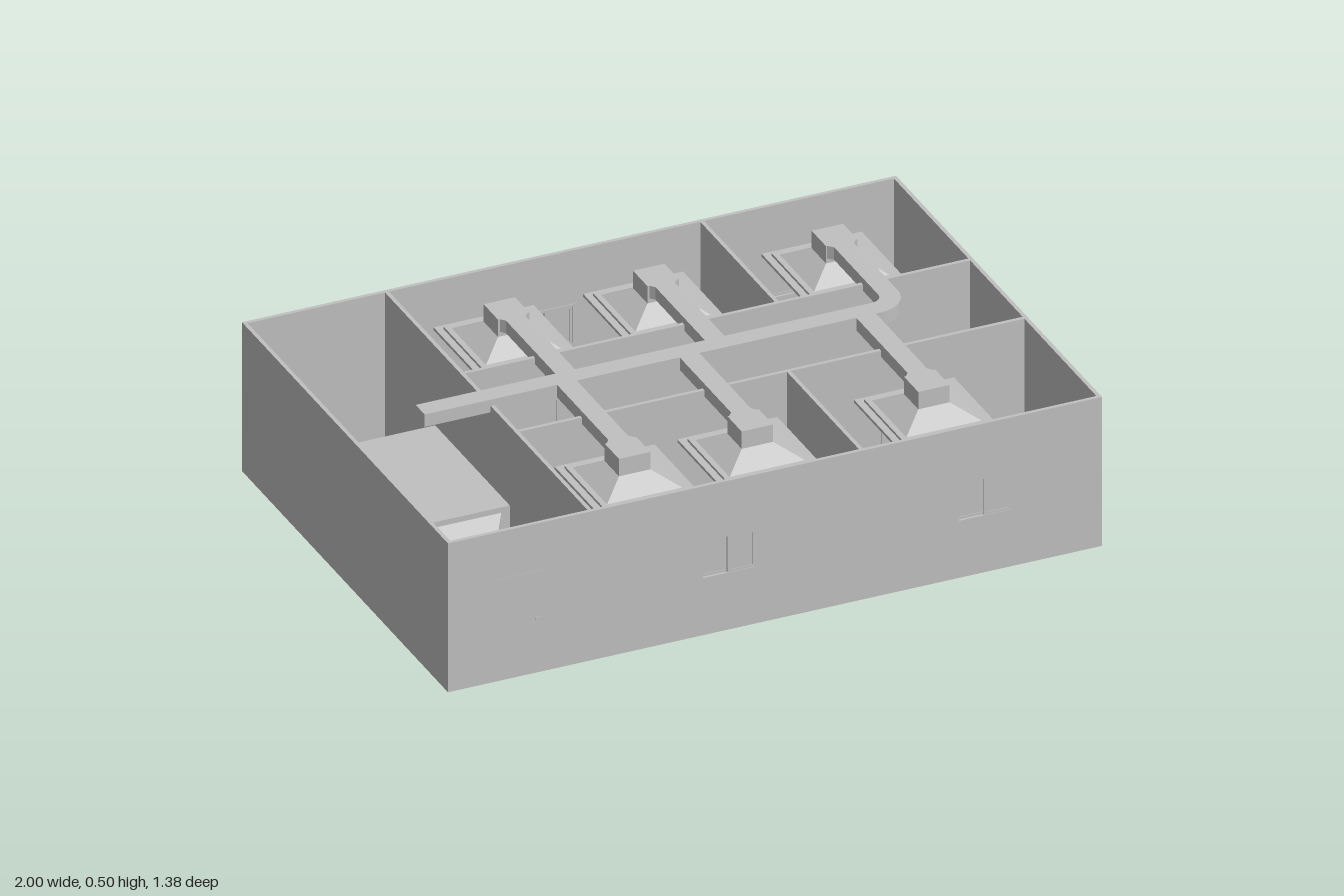
import * as THREE from 'three';
import { toCreasedNormals } from 'three/addons/utils/BufferGeometryUtils.js';

const H = 0.475, T = 0.012, X = 1, Z = 0.69;      // wall height, thickness, half extents
const DUCT_TOP = 0.495, DUCT_H = 0.04;

export function createModel() {
  const model = new THREE.Group();
  const grey = new THREE.MeshStandardMaterial({ color: 0xc0c0c0 });

  function add(name, geo, parent = model) {
    const m = new THREE.Mesh(geo, grey);
    m.name = name;
    parent.add(m);
    return m;
  }
  // box given by its limits
  function box(name, x0, x1, y0, y1, z0, z1, parent) {
    const m = add(name, new THREE.BoxGeometry(x1 - x0, y1 - y0, z1 - z0), parent);
    m.position.set((x0 + x1) / 2, (y0 + y1) / 2, (z0 + z1) / 2);
    return m;
  }
  // four sided frustum along y, flat faces
  function frustum(bottom, top, h) {
    const g = new THREE.CylinderGeometry(top * Math.SQRT1_2, bottom * Math.SQRT1_2, h, 4).rotateY(Math.PI / 4);
    return toCreasedNormals(g, 0.3);
  }
  // plan outline (x, z) extruded downward from the duct top
  function planDuct(name, shape) {
    const g = new THREE.ExtrudeGeometry(shape, { depth: DUCT_H, bevelEnabled: false, curveSegments: 16 });
    add(name, toCreasedNormals(g.rotateX(Math.PI / 2), 0.5)).position.y = DUCT_TOP;
  }

  // Wall in the local xy plane, outer face toward +z, with window and door openings
  function wall(name, x0, x1, windows = [], doors = [], proud = 0) {
    const g = new THREE.Group();
    g.name = name;
    const shape = new THREE.Shape([[x0, 0], [x1, 0], [x1, H], [x0, H]].map(p => new THREE.Vector2(...p)));
    const hole = (a, b, c, d) => shape.holes.push(
      new THREE.Path([[a, c], [a, d], [b, d], [b, c]].map(p => new THREE.Vector2(...p))));
    for (const w of windows) {
      const a = w - 0.0875, b = w + 0.0875, c = 0.175, d = 0.305, f = 0.007;
      hole(a, b, c, d);
      // surround
      box('windowSill', a, b, c, c + f, -T - 0.003, 0, g);
      box('windowHead', a, b, d - f, d, -T - 0.003, 0, g);
      for (const x of [a, b - f]) box('windowJamb', x, x + f, c + f, d - f, -T - 0.003, 0, g);
      // two sliding sashes, one behind the other
      [[a + f, w + 0.004, -0.011], [w - 0.004, b - f, -0.005]].forEach(([s, e, z]) => {
        box('windowPane', s + f, e - f, c + 2 * f, d - 2 * f, z - 0.001, z + 0.001, g);
        for (const x of [s, e - f]) box('sashStile', x, x + f, c + f, d - f, z - 0.003, z + 0.003, g);
        for (const y of [c + f, d - 2 * f]) box('sashRail', s + f, e - f, y, y + f, z - 0.003, z + 0.003, g);
      });
    }
    for (const [d, handleSide] of doors) {
      const a = d - 0.07, b = d + 0.07, top = 0.325, hx = d + handleSide * 0.056;
      hole(a, b, 0.006, top);
      box('doorLeaf', a, b, 0.006, top, -T + 0.002 + proud, -0.003 + proud, g);
      box('doorHandle', hx - 0.009, hx + 0.009, 0.172, 0.177, -T - 0.004, 0.003, g);
    }
    const geo = new THREE.ExtrudeGeometry(shape, { depth: T, bevelEnabled: false });
    add('wallPanel', geo, g).position.z = -T;
    model.add(g);
    return g;
  }

  // Floor and outer walls
  box('floor', -X + T, X - T, 0, 0.006, -Z + T, Z - T);
  wall('frontWall', -X, X, [-0.14, 0.643], [[-0.78, 1]], 0.004).position.z = Z;
  const back = wall('backWall', -X, X, [0.077, -0.693]);
  back.rotation.y = Math.PI;
  back.position.z = -Z;
  const right = wall('leftSideWall', -Z + T, Z - T, [], [[-0.035, 1]]);
  right.rotation.y = Math.PI / 2;
  right.position.x = X;
  box('rightSideWall', -X, -X + T, 0, H, -Z + T, Z - T);

  // Room partitions
  box('plantRoomPartition', -0.568, -0.556, 0, H, -Z + T, Z - T);
  wall('backCorridorPartition', -0.556, X - T, [], [[-0.345, 1], [0.63, 1]]).position.z = -0.167;
  wall('frontCorridorPartition', -0.556, X - T, [], [[-0.34, -1], [0.482, -1]]).position.z = 0.196;
  box('backRoomPartition', 0.396, 0.408, 0, H, -Z + T, -0.179);
  box('frontRoomPartition', 0.262, 0.274, 0, H, 0.196, Z - T);

  // Main duct with its elbow toward the last back room
  const r = 0.03, cx = 0.625, cz = -0.065;
  const main = new THREE.Shape();
  main.moveTo(-0.77, -r);
  main.lineTo(cx, -r);
  main.absarc(cx, cz, 0.035, Math.PI / 2, 0, true);
  main.lineTo(0.66, -0.36);
  main.lineTo(0.645, -0.375);
  main.lineTo(0.735, -0.375);
  main.lineTo(0.72, -0.36);
  main.lineTo(0.72, cz);
  main.absarc(cx, cz, 0.095, 0, Math.PI / 2, false);
  main.lineTo(-0.77, r);
  main.closePath();
  planDuct('mainDuct', main);

  // Outlet hoods: flange, step, pyramid and neck box, each with a branch duct
  function outlet(x, z, branch) {
    const g = new THREE.Group();
    g.name = 'outletHood';
    g.position.set(x, 0, z);
    model.add(g);
    box('hoodFlange', -0.153, 0.153, 0.383, 0.392, -0.153, 0.153, g);
    box('hoodStep', -0.132, 0.132, 0.392, 0.4, -0.132, 0.132, g);
    add('hoodPyramid', frustum(0.23, 0.095, 0.04), g).position.y = 0.42;
    box('hoodNeck', -0.048, 0.048, 0.435, DUCT_TOP, -0.048, 0.048, g);
    if (!branch) return;
    const s = Math.sign(z), end = z - s * 0.048, flare = end - s * 0.015;
    planDuct('branchDuct', new THREE.Shape([
      [x - r, s * r], [x - r, flare], [x - 0.042, end],
      [x + 0.042, end], [x + r, flare], [x + r, s * r]].map(p => new THREE.Vector2(...p))));
  }
  [-0.313, 0.144, 0.69].forEach((x, i) => outlet(x, -0.423, i < 2));
  [-0.335, 0.04, 0.58].forEach(x => outlet(x, 0.436, true));

  // Air handling unit with a tapered end and stub pipe on both sides
  const unit = new THREE.Group();
  unit.name = 'airHandlingUnit';
  unit.position.set(-0.77, 0.145, 0);
  model.add(unit);
  box('unitCasing', -0.16, 0.16, -0.135, 0.135, -0.25, 0.25, unit);
  for (const s of [-1, 1]) {
    const taper = add('unitTaper', frustum(0.27, 0.13, 0.11).rotateX(s * Math.PI / 2), unit);
    taper.position.z = s * 0.303;
    taper.scale.y = 0.88;
    const z = [s * 0.357, s * 0.397].sort((a, b) => a - b);
    box('unitStub', -0.03, 0.03, -0.03, 0.03, z[0], z[1], unit);
  }
  return model;
}
